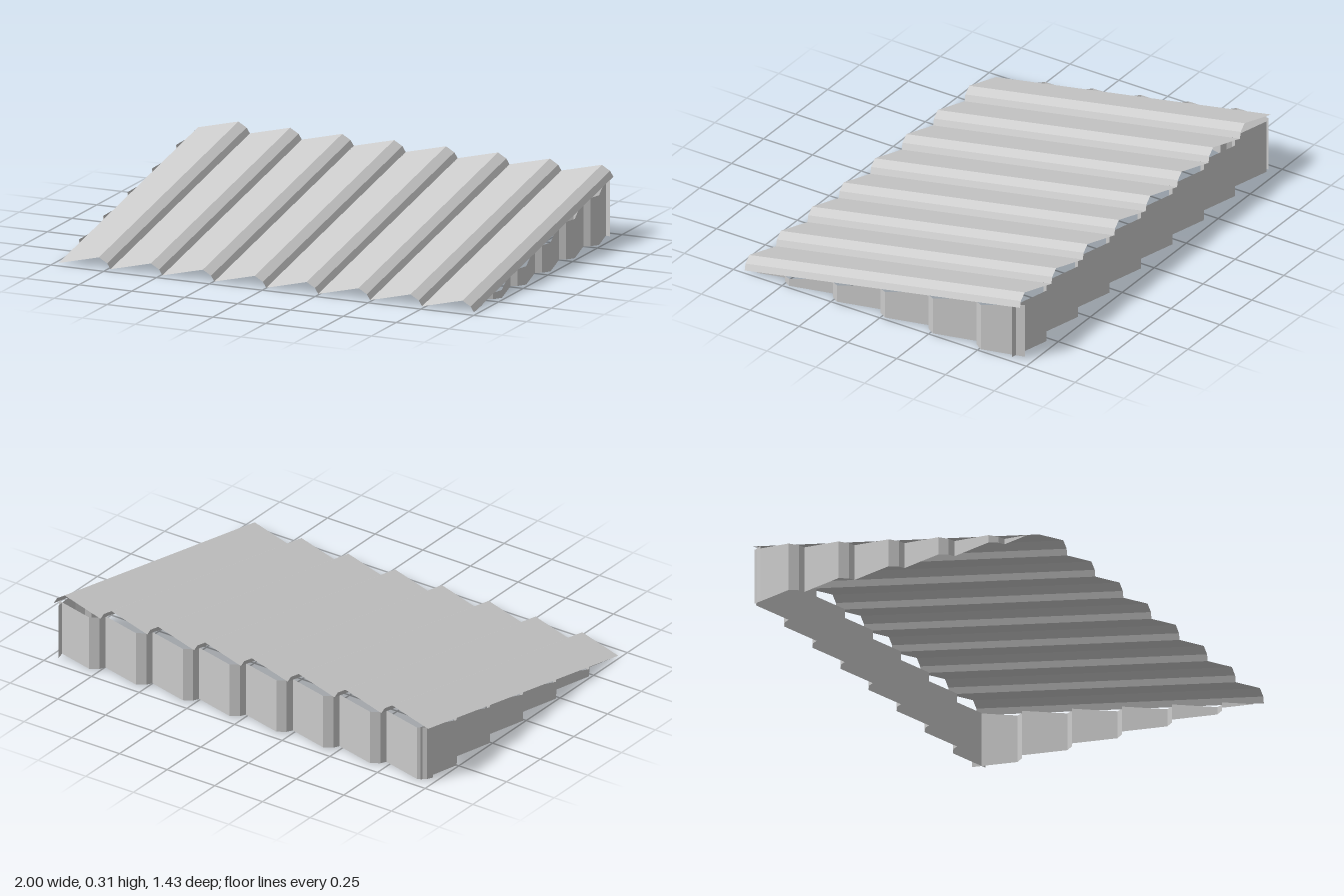
import * as THREE from 'three';

const PITCH = 0.2455; // width of one corrugation
const RIB = [[0, 0], [0.195, 0.05], [0.232, 0.026]]; // long rise, short bevelled drop
const BASE = 0.015;
const undersideY = z => 0.005 + (0.705 - z) * 0.188;

// Sawtooth profile as [distance along, height] pairs
function corrugation(count) {
  const pts = [];
  for (let i = 0; i < count; i++) for (const [s, h] of RIB) pts.push([i * PITCH + s, h]);
  pts.push([count * PITCH, 0]);
  return pts;
}

// Thin sheet spanned between two edges that follow the same profile
function sheet(name, profile, edgeA, edgeB) {
  const pos = [];
  for (let i = 0; i < profile.length - 1; i++) {
    const a = edgeA(...profile[i]), b = edgeA(...profile[i + 1]);
    const c = edgeB(...profile[i + 1]), d = edgeB(...profile[i]);
    pos.push(...a, ...b, ...c, ...a, ...c, ...d);
  }
  const geo = new THREE.BufferGeometry();
  geo.setAttribute('position', new THREE.Float32BufferAttribute(pos, 3));
  geo.computeVertexNormals();
  const mat = new THREE.MeshStandardMaterial({ color: 0xcccccc, side: THREE.DoubleSide, flatShading: true });
  const mesh = new THREE.Mesh(geo, mat);
  mesh.name = name;
  return mesh;
}

export function createModel() {
  const group = new THREE.Group();
  group.name = 'corrugatedLeanToRoof';

  // Sloping roof, ribs running front to back
  const roofEdge = z => (s, h) => [-0.984 + s, undersideY(z) + h * 0.983, z + h * 0.185];
  group.add(sheet('roof', corrugation(8), roofEdge(0.705), roofEdge(-0.705)));

  // Upright back wall
  const backEdge = y => (s, h) => [0.982 - s, y, -0.665 - h];
  group.add(sheet('backWall', corrugation(8), backEdge(BASE), backEdge(0.265)));

  // Tapering side walls, cut off where they meet the roof underside
  const zBack = -0.712, zFront = 0.65;
  const sideProfile = corrugation(6).filter(([s]) => zBack + s < zFront);
  const last = zFront - zBack;
  sideProfile.push([last, (last - 5 * PITCH) / 0.195 * 0.05]);
  for (const [name, side] of [['leftWall', 1], ['rightWall', -1]]) {
    const bottom = (s, h) => [side * (0.95 + h), BASE, zBack + s];
    const top = (s, h) => [side * (0.95 + h), undersideY(zBack + s), zBack + s];
    // Swapping the edges keeps the outside facing out on both sides
    group.add(side > 0 ? sheet(name, sideProfile, top, bottom) : sheet(name, sideProfile, bottom, top));
  }
  return group;
}
